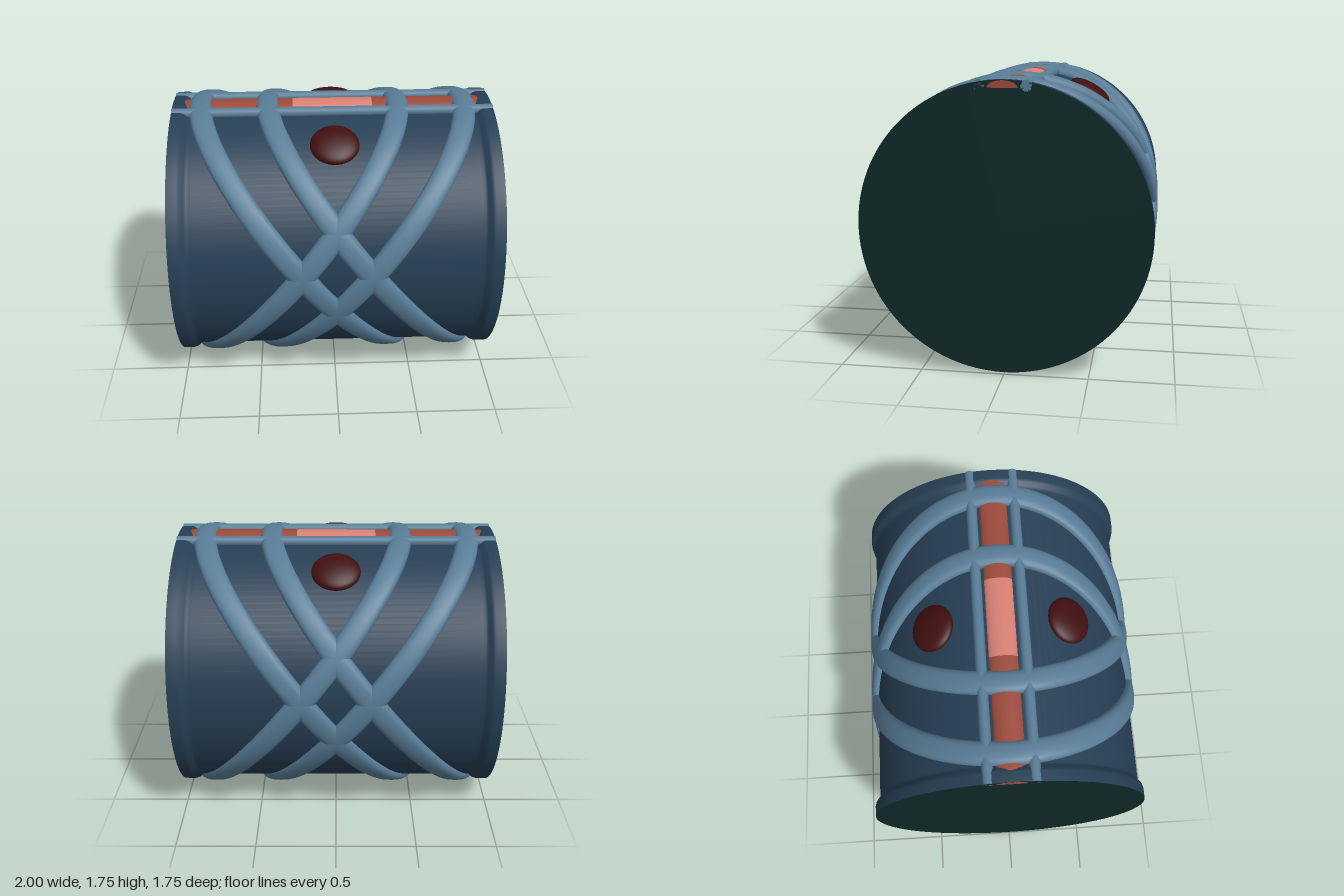
import * as THREE from 'three';
import { ParametricGeometry } from 'three/addons/geometries/ParametricGeometry.js';

const AXIS_Y = 0.875; // height of the drum axis
const R = 0.83;       // drum radius
const RIM = 0.86;     // radius of the raised end rims

const mat = (name, color) => {
  const m = new THREE.MeshStandardMaterial({ color });
  m.name = name;
  return m;
};

// Raised band whose centre line is a tilted plane cutting the drum
function bandGeometry(centreX, slantX) {
  const power = (v) => Math.sign(v) * Math.pow(Math.abs(v), 0.75);
  const N = new THREE.Vector3(), T = new THREE.Vector3(), B = new THREE.Vector3();
  return new ParametricGeometry((u, v, target) => {
    const t = u * Math.PI * 2, a = v * Math.PI * 2;
    N.set(0, Math.cos(t), Math.sin(t));
    T.set(-slantX * Math.sin(t), -R * Math.sin(t), R * Math.cos(t));
    B.crossVectors(N, T).normalize();
    target.set(centreX + slantX * Math.cos(t), R * Math.cos(t), R * Math.sin(t))
      .addScaledVector(N, 0.043 * power(Math.cos(a)))
      .addScaledVector(B, 0.071 * power(Math.sin(a)));
  }, 128, 20);
}

// Half-round bar lying along x
function barGeometry(length) {
  return new THREE.CylinderGeometry(1, 1, length, 24, 1, false, 0, Math.PI)
    .rotateZ(Math.PI / 2)
    .scale(1, 0.042, 0.088);
}

export function createModel() {
  const group = new THREE.Group();
  const drum = new THREE.Group();
  drum.name = 'drum';
  drum.position.y = AXIS_Y;
  group.add(drum);

  const navy = mat('navy shell', 0x263e54);
  const steel = mat('steel blue', 0x587c96);
  const dark = mat('dark end', 0x0f2828);
  const rust = mat('rust red', 0x9c4a3b);
  const salmon = mat('salmon', 0xd98074);
  const maroon = mat('maroon', 0x400f10);

  const add = (name, geometry, material, x = 0, y = 0, z = 0) => {
    const mesh = new THREE.Mesh(geometry, material);
    mesh.name = name;
    mesh.position.set(x, y, z);
    drum.add(mesh);
    return mesh;
  };

  // Shell with a raised rim at each end
  const half = [[1, RIM], [0.94, RIM], [0.92, 0.854], [0.9, 0.835], [0.885, R], [0.86, R]];
  const profile = [
    ...half.map(([x, r]) => new THREE.Vector2(r, -x)),
    ...half.slice().reverse().map(([x, r]) => new THREE.Vector2(r, x)),
  ];
  add('shell', new THREE.LatheGeometry(profile, 128).rotateZ(-Math.PI / 2), navy);

  for (const side of [-1, 1]) {
    // Flat end discs
    add('endDisc', new THREE.CircleGeometry(RIM, 128).rotateY(side * Math.PI / 2), dark, side);

    // Crossing bands
    add('outerBand', bandGeometry(side * 0.175, side * 0.655), steel);
    add('innerBand', bandGeometry(side * 0.25, side * -0.66), steel);

    // Rails on either side of the top bar
    add('rail', new THREE.CylinderGeometry(0.033, 0.033, 2, 20).rotateZ(Math.PI / 2),
      steel, 0, 0.828, side * 0.134);

    // Outer lengths of the top bar, just proud of the end discs
    add('barEnd', barGeometry(0.752), rust, side * 0.626, 0.815);

    // Shallow domes on the shoulders
    const dome = add('dome', new THREE.SphereGeometry(1, 40, 24).scale(0.15, 0.05, 0.142),
      maroon, 0, 0.726, side * 0.412);
    dome.rotation.x = side * Math.atan2(0.412, 0.726);
  }

  // Bright middle of the top bar
  add('barMiddle', barGeometry(0.5), salmon, 0, 0.815);

  return group;
}
